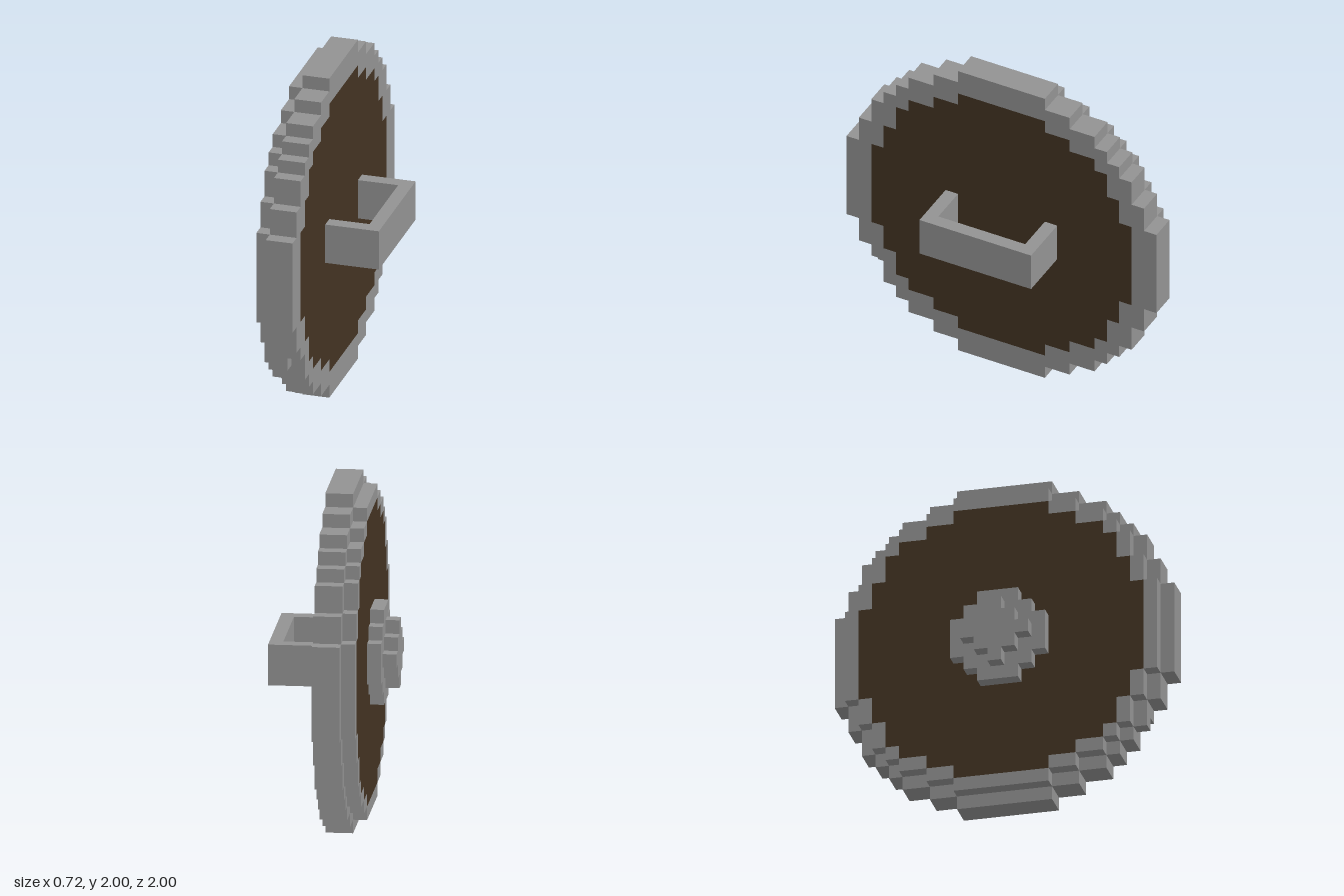
import * as THREE from 'three';

// Stepped-disc profiles: outer corners [half width, half height] of one quadrant, side to top.
const OUTER = [[1, 0.28], [0.92, 0.44], [0.84, 0.6], [0.76, 0.68], [0.68, 0.76], [0.6, 0.84], [0.44, 0.92], [0.28, 1]];
const NOTCHED = OUTER.map(([w, h]) => [w, w === 0.84 ? 0.52 : h]);
const MIDDLE = [[0.92, 0.28], [0.84, 0.44], [0.76, 0.6], [0.68, 0.68], [0.6, 0.76], [0.44, 0.84], [0.28, 0.92]];
const INNER = [[0.84, 0.28], [0.76, 0.44], [0.68, 0.6], [0.6, 0.68], [0.44, 0.76], [0.28, 0.84]];
const BOSS_BASE = [[0.28, 0.12], [0.2, 0.2], [0.12, 0.28]];
const BOSS_CAP = [[0.2, 0.04], [0.12, 0.12], [0.04, 0.2]];

// Staircase points of one quadrant, from the side to the top
function quadrant(corners, sx, sy) {
  const pts = [];
  corners.forEach(([w, h], i) => {
    pts.push(new THREE.Vector2(sx * w, sy * h));
    const next = corners[i + 1];
    if (next) pts.push(new THREE.Vector2(sx * next[0], sy * h));
  });
  return pts;
}

// Full outline; the lower left quadrant may use its own corners
function outline(corners, lowerLeft = corners) {
  return [
    ...quadrant(corners, 1, 1),
    ...quadrant(corners, -1, 1).reverse(),
    ...quadrant(lowerLeft, -1, -1),
    ...quadrant(corners, 1, -1).reverse(),
  ];
}

// Extrude an outline along x from x0 to x1, optionally with a hole
function slab(name, points, x0, x1, material, hole) {
  const shape = new THREE.Shape(points);
  if (hole) shape.holes.push(new THREE.Path(hole));
  const geometry = new THREE.ExtrudeGeometry(shape, { depth: x1 - x0, bevelEnabled: false });
  geometry.rotateY(Math.PI / 2);
  geometry.translate(x0, 1, 0);
  const mesh = new THREE.Mesh(geometry, material);
  mesh.name = name;
  return mesh;
}

function box(name, x0, x1, z0, z1, material) {
  const mesh = new THREE.Mesh(new THREE.BoxGeometry(x1 - x0, 0.24, z1 - z0), material);
  mesh.position.set((x0 + x1) / 2, 1, (z0 + z1) / 2);
  mesh.name = name;
  return mesh;
}

export function createModel() {
  const metal = new THREE.MeshStandardMaterial({ color: 0x929292 });
  metal.name = 'grey metal';
  const wood = new THREE.MeshStandardMaterial({ color: 0x433322 });
  wood.name = 'dark wood';

  const model = new THREE.Group();
  model.name = 'roundShield';

  // Wooden disc and the stepped rim around it
  const hole = outline(INNER);
  model.add(
    slab('woodenDisc', outline(INNER), -0.2, 0.04, wood),
    slab('rimOuterFace', outline(MIDDLE), -0.2, -0.12, metal, hole),
    slab('rimMiddle', outline(OUTER), -0.12, -0.04, metal, hole),
    slab('rimInnerFace', outline(OUTER, NOTCHED), -0.04, 0.04, metal, hole),
  );

  // Boss on the outer face
  model.add(
    slab('bossBase', outline(BOSS_BASE), -0.28, -0.2, metal),
    slab('bossCap', outline(BOSS_CAP), -0.36, -0.28, metal),
  );

  // Handle on the inner face
  const handle = new THREE.Group();
  handle.name = 'handle';
  handle.add(
    box('handleGrip', 0.28, 0.36, -0.36, 0.36, metal),
    box('handleFrontPost', 0.04, 0.28, 0.28, 0.36, metal),
    box('handleBackPost', 0.04, 0.28, -0.36, -0.28, metal),
  );
  model.add(handle);
  return model;
}
